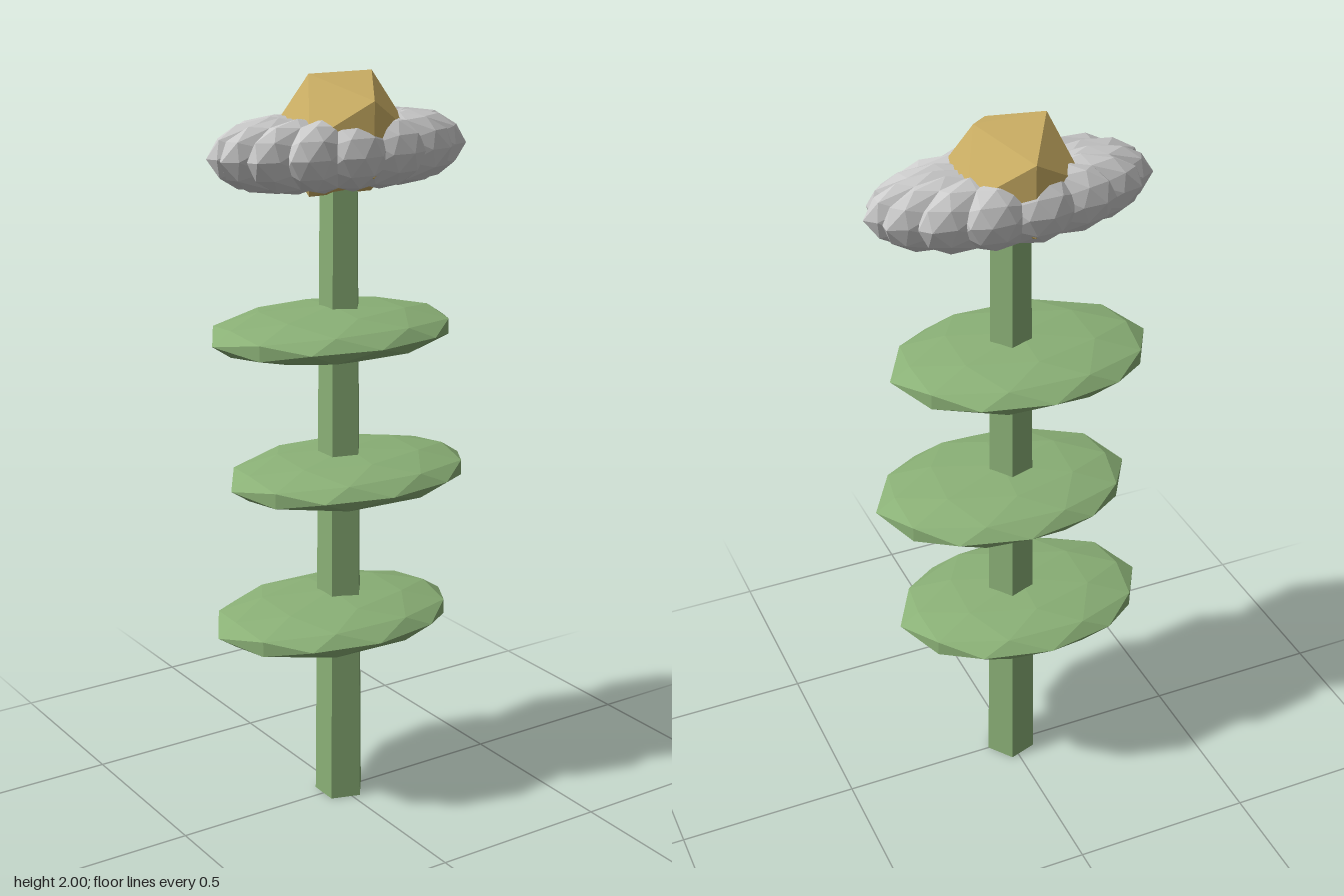
import * as THREE from 'three';

const material = (color) => new THREE.MeshStandardMaterial({ color, flatShading: true });

// Faceted ellipsoid with the given half sizes; spin turns its facets before stretching
function ellipsoid(rx, ry, rz, spin = 0) {
  return new THREE.IcosahedronGeometry(1, 1).rotateY(spin).scale(rx, ry, rz);
}

export function createModel() {
  const model = new THREE.Group();
  const green = material(0x8ab076);
  const gold = material(0xcfb266);
  const grey = material(0xcccccc);

  const add = (name, geometry, mat, parent = model) => {
    const mesh = new THREE.Mesh(geometry, mat);
    mesh.name = name;
    parent.add(mesh);
    return mesh;
  };

  // Five-sided tapering stem, one corner towards +x
  const stem = add('stem', new THREE.CylinderGeometry(0.053, 0.07, 1.76, 5), green);
  stem.rotation.y = Math.PI / 2;
  stem.position.y = 0.88;

  // Three flat leaf discs, shifted alternately left and right
  for (let i = 0; i < 3; i++) {
    const middle = i === 1;
    const spin = Math.PI / 2 - (middle ? 0.07 : 0.035);
    const leaf = add('leaf' + (i + 1), ellipsoid(0.354, 0.066, 0.254, spin), green);
    leaf.position.set(middle ? 0.025 : -0.027, 0.543 + i * 0.397, 0);
  }

  // Ring of overlapping petals, flattened from front to back
  const petals = new THREE.Group();
  petals.name = 'petals';
  petals.position.y = 1.805;
  petals.scale.z = 0.455;
  model.add(petals);
  const count = 15;
  for (let i = 0; i < count; i++) {
    const angle = (i / count) * Math.PI * 2;
    const petal = add('petal' + (i + 1), ellipsoid(0.18, 0.094, 0.11), grey, petals);
    petal.position.set(0.2 * Math.cos(angle), 0, 0.2 * Math.sin(angle));
    petal.rotation.y = -angle;
  }

  // Faceted flower centre
  const centre = add('flowerCentre', new THREE.IcosahedronGeometry(0.181, 0), gold);
  centre.position.y = 1.846;

  return model;
}
